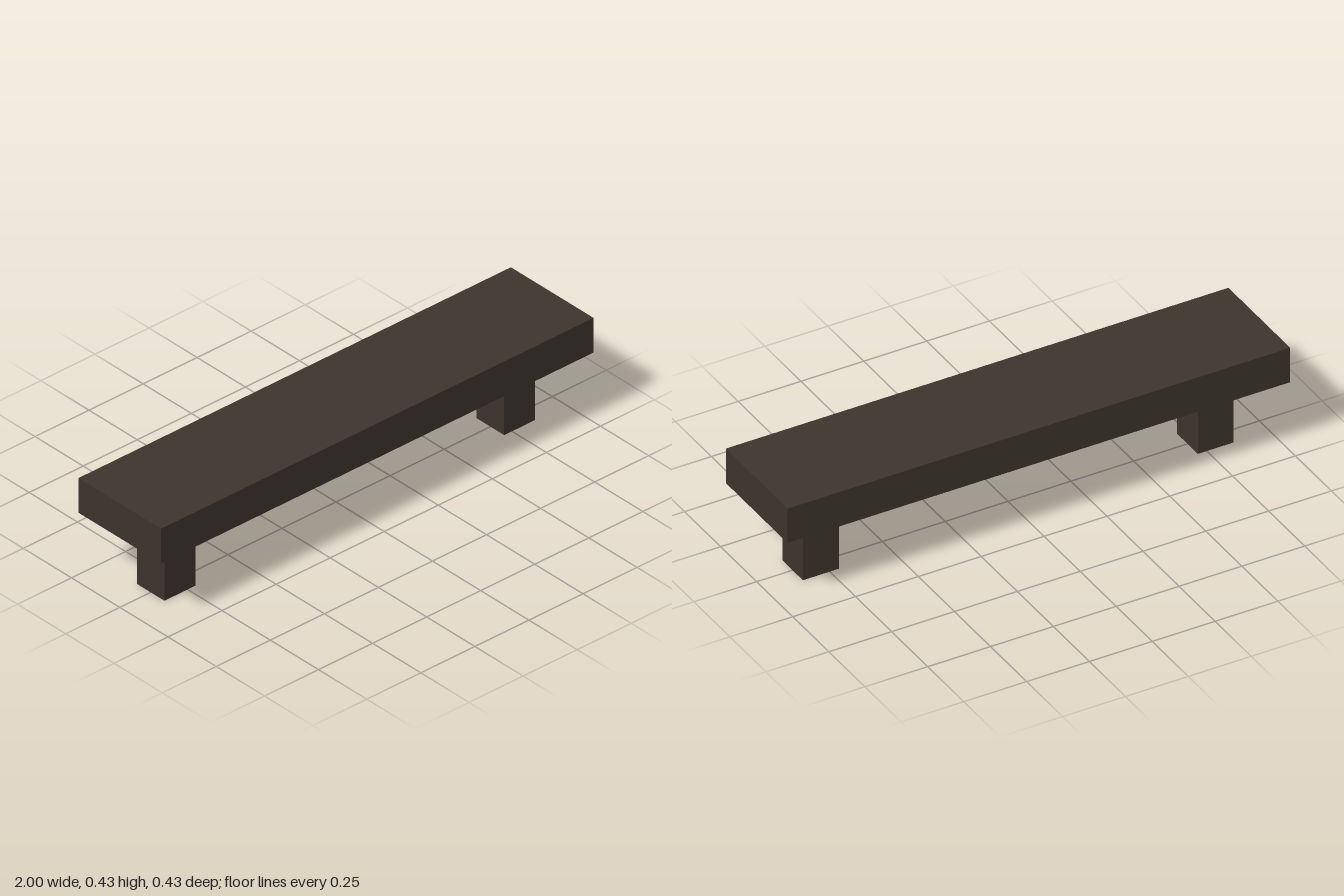
import * as THREE from 'three';

const U = 1 / 7; // plank thickness; every size is a multiple of it

export function createModel() {
  const bench = new THREE.Group();
  bench.name = 'bench';

  const darkWood = new THREE.MeshStandardMaterial({ color: 0x3d342d });
  darkWood.name = 'dark wood';

  const addBlock = (name, w, h, d, x, y) => {
    const mesh = new THREE.Mesh(new THREE.BoxGeometry(w * U, h * U, d * U), darkWood);
    mesh.name = name;
    mesh.position.set(x * U, y * U, 0);
    bench.add(mesh);
  };

  // Seat plank
  addBlock('seat', 14, 1, 3, 0, 2.5);

  // Square legs set in from each end
  addBlock('leftLeg', 1, 2, 1, 5.5, 1);
  addBlock('rightLeg', 1, 2, 1, -5.5, 1);

  return bench;
}
